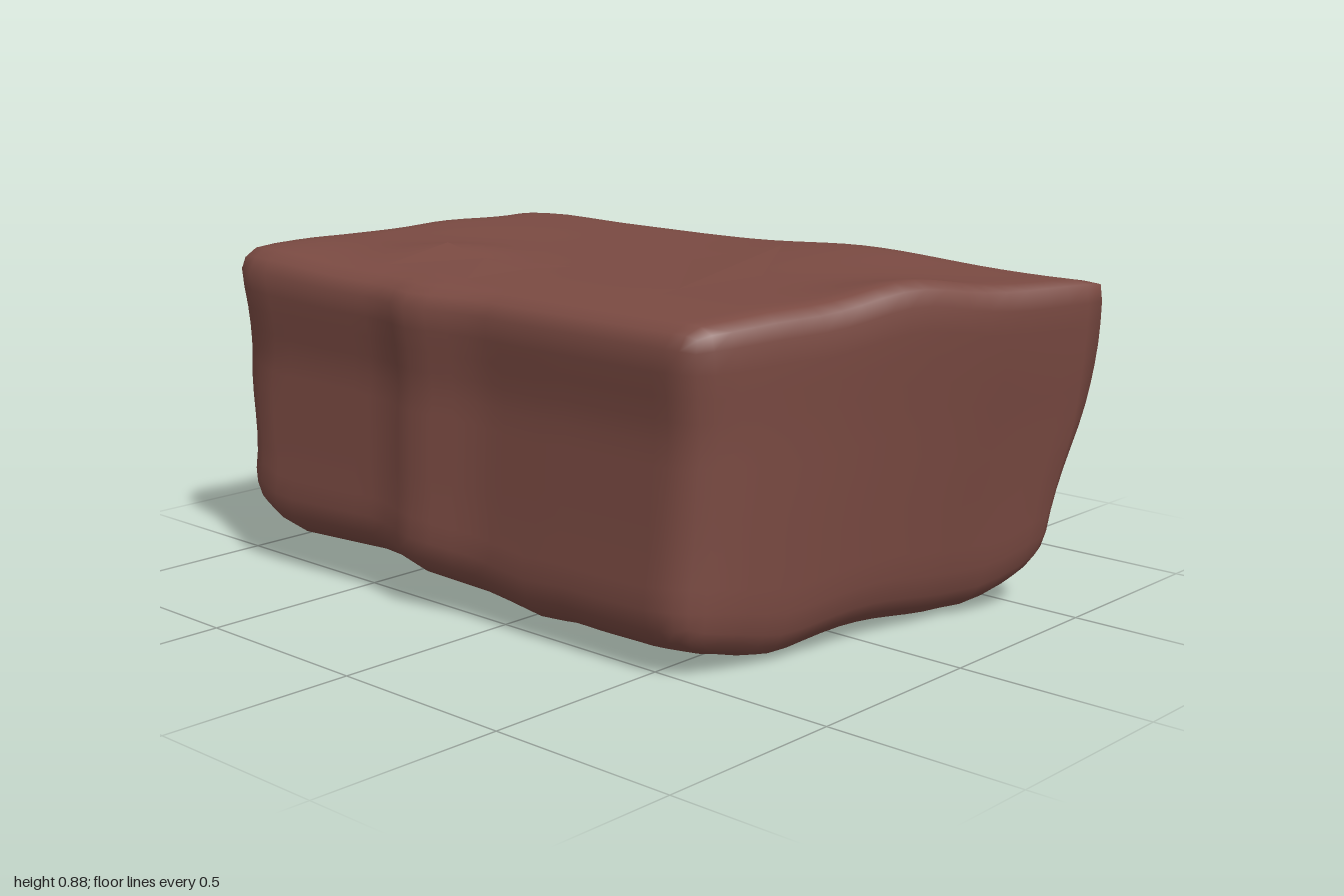
import * as THREE from 'three';
import { mergeVertices } from 'three/addons/utils/BufferGeometryUtils.js';

const { lerp, clamp, smoothstep } = THREE.MathUtils;

// Outline profiles along the length: [x, value]
const BOTTOM = [[-1, .11], [-.77, .08], [-.43, .092], [-.25, .077], [.12, .03], [.25, .04], [.5, .006], [.8, .015], [1, .05]];
const FRONT = [[-1, .555], [-.85, .595], [-.38, .57], [-.25, .6], [-.05, .555], [.2, .555], [.58, .55], [1, .53]];
const BACK = [[-1, -.575], [-.8, -.62], [-.57, -.6], [-.2, -.6], [.2, -.585], [.6, -.585], [1, -.585]];
// How far the front and back are worn inwards at each height: [y, value]
const FRONT_WEAR = [[.17, 0], [.3, .01], [.58, .025], [.78, 0]];
const BACK_WEAR = [[.13, .02], [.3, .01], [.5, 0], [.72, .015], [.82, .025]];
// Slanted right end at the top and at the bottom: [z, x]
const END_TOP = [[-.6, 1.015], [-.22, .895], [.47, .69], [.6, .65]];
const END_BOTTOM = [[-.6, .9], [-.48, .85], [-.3, .77], [.47, .66], [.6, .62]];
// Swellings on the top: [x, z, height, width]
const SWELLINGS = [[.83, -.03, .04, .13], [-.43, .28, .03, .12], [-.83, .5, .025, .16], [.33, -.48, .025, .2], [-.8, -.1, .012, .2]];

function sample(table, x) {
  for (let i = 1; i < table.length; i++) {
    const [x0, v0] = table[i - 1], [x1, v1] = table[i];
    if (x <= x1) return lerp(v0, v1, clamp((x - x0) / (x1 - x0), 0, 1));
  }
  return table[table.length - 1][1];
}

function topY(x, z) {
  let y = .85 - .015 * smoothstep(z, .3, .55);
  for (const [cx, cz, height, width] of SWELLINGS)
    y += height * Math.exp(-((x - cx) ** 2 + (z - cz) ** 2) / (2 * width * width));
  return y;
}

function bottomY(x, z) {
  const ripple = .012 + .012 * Math.cos(9.5 * (z - .03));
  const leftNotch = .05 * smoothstep(-x, .75, .95) * smoothstep(z, -.15, .05);
  const frontRight = .04 * smoothstep(z, .25, .5) * smoothstep(x, .2, .6);
  const backRight = .04 * smoothstep(-z, .35, .58) * smoothstep(x, .4, .8);
  return sample(BOTTOM, x) + ripple + leftNotch + frontRight + backRight;
}

// Rounds the edges of a box point, then bends it to the stone's outline
function shapePoint(p) {
  const half = new THREE.Vector3(1, .44, .6);
  const sharp = smoothstep(p.x, .3, 1) * smoothstep(-p.z, 0, .5) * smoothstep(p.y, -.3, .3);
  const r = lerp(lerp(.12, .085, smoothstep(p.y, -.2, .3)), .03, sharp);
  const core = p.clone().clamp(
    half.clone().multiplyScalar(-1).addScalar(r), half.clone().subScalar(r));
  const d = p.clone().sub(core);
  if (d.lengthSq() > 0) p.copy(core).addScaledVector(d.normalize(), r);

  const s = p.z / .6, t = (p.y + .44) / .88;
  const x = p.x > 0
    ? p.x * lerp(sample(END_BOTTOM, p.z), sample(END_TOP, p.z), smoothstep(t, -.3, 1.1))
    : p.x * (.97 + .015 * Math.cos(13 * p.y) + .012 * Math.cos(17 * p.z + 3));
  const y = lerp(bottomY(x, p.z), topY(x, p.z), t);
  const front = sample(FRONT, x) - sample(FRONT_WEAR, y);
  const back = sample(BACK, x) + sample(BACK_WEAR, y);
  return p.set(x, y, lerp(back, front, (s + 1) / 2));
}

function makeBody() {
  let g = new THREE.BoxGeometry(2, .88, 1.2, 32, 14, 20);
  g.deleteAttribute('normal');
  g.deleteAttribute('uv');
  g = mergeVertices(g, 1e-4);
  const pos = g.attributes.position, p = new THREE.Vector3();
  for (let i = 0; i < pos.count; i++) {
    shapePoint(p.fromBufferAttribute(pos, i));
    pos.setXYZ(i, p.x, p.y, p.z);
  }
  g.computeVertexNormals();
  return g;
}

// Flat chipped facet lying on the top, from [x, z] corners
function makeChip(corners) {
  const shape = new THREE.Shape(corners.map(([x, z]) => new THREE.Vector2(x, -z)));
  const g = new THREE.ShapeGeometry(shape).rotateX(-Math.PI / 2).toNonIndexed();
  const pos = g.attributes.position;
  for (let i = 0; i < pos.count; i++)
    pos.setY(i, topY(pos.getX(i), pos.getZ(i)) + .008);
  g.computeVertexNormals();
  return g;
}

const CHIPS = [
  [[.16, -.36], [.1, -.07], [-.29, -.04], [-.05, .21], [.37, .28], [.39, 0]],
  [[.37, .28], [.38, .46], [.07, .43]],
  [[-.43, .28], [-.26, .31], [-.05, .21], [-.1, .32], [-.07, .49], [-.15, .47], [-.43, .48]],
];

export function createModel() {
  const group = new THREE.Group();
  group.name = 'stoneBlock';
  const stone = new THREE.MeshStandardMaterial({ color: 0x7a4a42 });
  stone.name = 'reddish brown stone';

  const body = new THREE.Mesh(makeBody(), stone);
  body.name = 'body';
  group.add(body);

  CHIPS.forEach((corners, i) => {
    const chip = new THREE.Mesh(makeChip(corners), stone);
    chip.name = `topChip${i + 1}`;
    group.add(chip);
  });
  return group;
}
